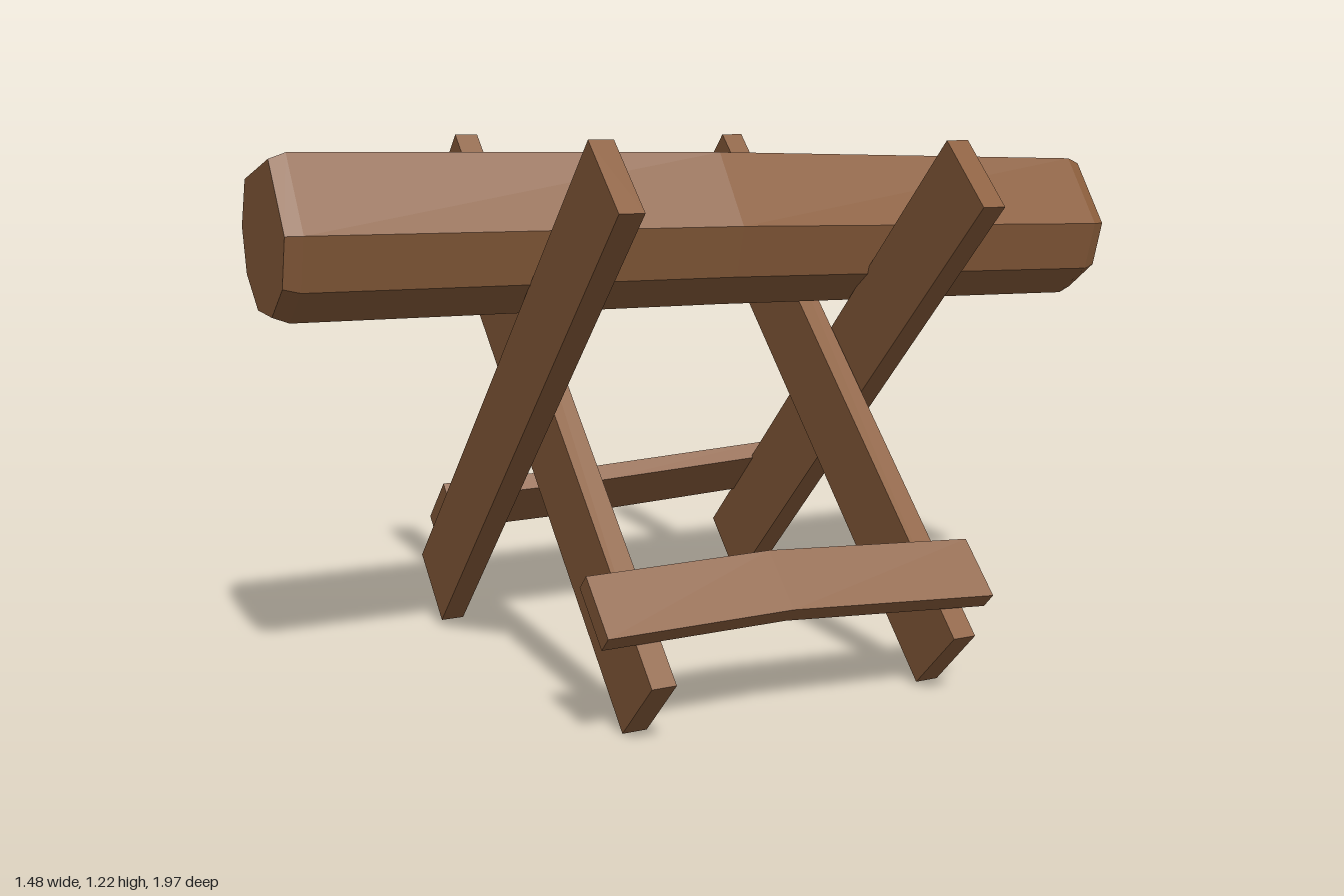
import * as THREE from 'three';

const wood = new THREE.MeshStandardMaterial({ color: 0x8b5e3c, flatShading: true });
wood.name = 'brown wood';

// Solid through rings of [x, y] points (counter-clockwise from the front), ordered front to back
function loft(sections) {
  const pos = [];
  const tri = (...pts) => pts.forEach(p => pos.push(...p));
  const rings = sections.map(s => s.points.map(([x, y]) => [x, y, s.z]));
  const n = rings[0].length;
  const middle = ring => [0, 1, 2].map(k => ring.reduce((sum, p) => sum + p[k], 0) / n);
  const first = rings[0], last = rings[rings.length - 1];
  const cf = middle(first), cb = middle(last);
  for (let j = 0; j < n; j++) {
    const k = (j + 1) % n;
    for (let i = 0; i < rings.length - 1; i++) {
      const a = rings[i][j], b = rings[i][k], c = rings[i + 1][k], d = rings[i + 1][j];
      tri(a, d, c);
      tri(a, c, b);
    }
    tri(cf, first[j], first[k]);
    tri(cb, last[k], last[j]);
  }
  const g = new THREE.BufferGeometry();
  g.setAttribute('position', new THREE.Float32BufferAttribute(pos, 3));
  g.computeVertexNormals();
  return g;
}

function addMesh(parent, name, geometry) {
  const mesh = new THREE.Mesh(geometry, wood);
  mesh.name = name;
  parent.add(mesh);
  return mesh;
}

// Leg plank running from its foot to its top at a given depth
function addLeg(parent, name, foot, top, z) {
  const dx = top[0] - foot[0], dy = top[1] - foot[1];
  const leg = addMesh(parent, name, new THREE.BoxGeometry(0.195, Math.hypot(dx, dy), 0.056));
  leg.position.set((foot[0] + top[0]) / 2, (foot[1] + top[1]) / 2, z);
  leg.rotation.z = Math.atan2(-dx, dy);
}

// Slightly bent rail resting on the leg edges; stations are [x, y, z] on its outer face
function addRail(parent, name, angle, stations) {
  const t = 0.045, w = 0.148, c = Math.cos(angle), s = Math.sin(angle);
  const corners = [[0, w / 2], [-t, w / 2], [-t, -w / 2], [0, -w / 2]];
  addMesh(parent, name, loft(stations.map(([x, y, z]) => ({
    z, points: corners.map(([u, v]) => [x + u * c - v * s, y + u * s + v * c])
  }))));
}

export function createModel() {
  const model = new THREE.Group();
  model.name = 'sawbuck with log';
  const stand = new THREE.Group();
  stand.name = 'turned assembly';
  stand.rotation.y = THREE.MathUtils.degToRad(-28.5);
  model.add(stand);

  // Log: uneven octagon, slight bow, chamfered ends
  const angles = [-148, -111, -73, -35, 3, 67, 140, 177].map(THREE.MathUtils.degToRad);
  const stations = [
    [0.016, 1.025, 1.02, 0.172], [0.016, 1.025, 0.985, 0.186], [0.034, 1.014, 0, 0.185],
    [0.023, 0.988, -1.01, 0.182], [0.023, 0.988, -1.045, 0.168]
  ];
  addMesh(stand, 'log', loft(stations.map(([x, y, z, r]) => ({
    z, points: angles.map(a => [x + r * Math.cos(a), y + r * Math.sin(a)])
  }))));

  // Two crossed pairs of legs
  addLeg(stand, 'frontLegRising', [-0.505, 0.085], [0.548, 1.155], 0.467);
  addLeg(stand, 'frontLegFalling', [0.544, 0.07], [-0.515, 1.15], 0.4);
  addLeg(stand, 'backLegFalling', [0.565, 0.076], [-0.49, 1.145], -0.322);
  addLeg(stand, 'backLegRising', [-0.511, 0.085], [0.552, 1.145], -0.382);

  // Side rails
  addRail(stand, 'leftRail', Math.PI / 4,
    [[0.522, 0.295, 0.505], [0.528, 0.3, 0.08], [0.577, 0.28, -0.4]]);
  addRail(stand, 'rightRail', Math.PI * 0.75,
    [[-0.495, 0.31, 0.48], [-0.465, 0.322, 0.08], [-0.44, 0.347, -0.41]]);

  return model;
}
